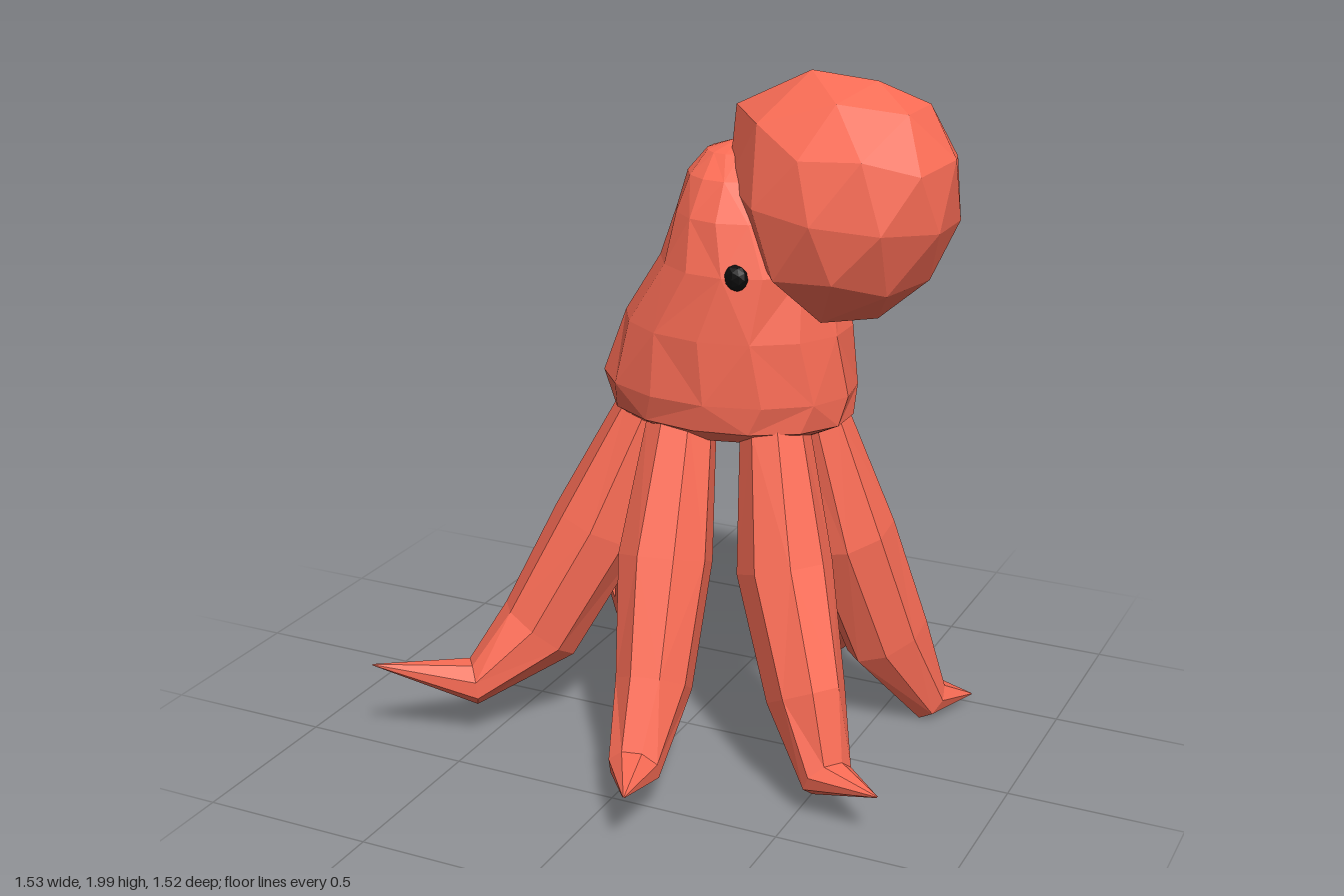
import * as THREE from 'three';

const V = (x, y, z) => new THREE.Vector3(x, y, z);
const skin = new THREE.MeshStandardMaterial({ color: 0xfb6d56, flatShading: true });
const black = new THREE.MeshStandardMaterial({ color: 0x0a0a0a, flatShading: true });
const MID_Z = -0.048; // the body sits slightly behind the centre

// Faceted skin over a list of rings with equal point counts
function loft(rings) {
  const n = rings[0].length, pts = [];
  for (let k = 0; k + 1 < rings.length; k++) {
    for (let i = 0; i < n; i++) {
      const j = (i + 1) % n;
      const a = rings[k][i], b = rings[k][j], c = rings[k + 1][j], d = rings[k + 1][i];
      if ((i + k) % 2) pts.push(a, b, c, a, c, d);
      else pts.push(a, b, d, b, c, d);
    }
  }
  const geo = new THREE.BufferGeometry().setFromPoints(pts);
  geo.computeVertexNormals();
  return geo;
}

// Ellipse around c spanned by u and v
function ring(c, u, v, n, twist = 0) {
  return Array.from({ length: n }, (_, i) => {
    const a = ((i + twist) / n) * Math.PI * 2;
    return c.clone().addScaledVector(u, Math.cos(a)).addScaledVector(v, Math.sin(a));
  });
}

function add(group, name, geo, material) {
  const mesh = new THREE.Mesh(geo, material);
  mesh.name = name;
  group.add(mesh);
  return mesh;
}

// Leaning body: [y, centre x, half width, half depth]
function bodyGeometry() {
  const rows = [
    [1.01, 0.11, 0.001, 0.001], [0.99, 0.11, 0.27, 0.19], [1.04, 0.115, 0.36, 0.265],
    [1.12, 0.11, 0.375, 0.28], [1.3, 0.135, 0.33, 0.278], [1.48, 0.17, 0.25, 0.262],
    [1.62, 0.165, 0.2, 0.225], [1.72, 0.145, 0.15, 0.165], [1.78, 0.135, 0.09, 0.095],
    [1.81, 0.135, 0.001, 0.001],
  ];
  return loft(rows.map(([y, x, w, d], k) =>
    ring(V(x, y, MID_Z), V(0, 0, d), V(w, 0, 0), 14, (k % 2) * 0.25)));
}

// Bulbous head: leaning faceted ball with a peak and a flat face towards the body
function headGeometry() {
  const geo = new THREE.IcosahedronGeometry(1, 1).rotateZ(0.46);
  const peak = V(-0.85, 0.53, 0).normalize();
  const flat = V(-0.859, -0.512, 0).normalize();
  const pos = geo.attributes.position, p = V(0, 0, 0);
  for (let i = 0; i < pos.count; i++) {
    p.fromBufferAttribute(pos, i);
    const t = Math.max(0, p.dot(peak));
    p.multiply(V(0.312, 0.342, 0.285)).multiplyScalar(1 + 0.38 * t ** 5);
    p.x += 0.14 * p.y;
    p.addScaledVector(flat, Math.min(0, 0.235 - p.dot(flat)));
    pos.setXYZ(i, p.x, p.y, p.z);
  }
  geo.translate(0.455, 1.652, MID_Z);
  geo.computeVertexNormals();
  return geo;
}

// Thick arm swept along five points to a pointed, upturned tip
function armGeometry(points) {
  const path = points.map((p) => V(...p));
  const run = path[4].clone().sub(path[0]).setY(0);
  const side = V(0, 1, 0).cross(run).normalize();
  const sizes = [[0.1, 0.09], [0.135, 0.14], [0.108, 0.13], [0.075, 0.068], [0.002, 0.002]];
  return loft(path.map((c, i) => {
    const t = path[Math.min(i + 1, 4)].clone().sub(path[Math.max(i - 1, 0)]).normalize();
    const v = t.clone().cross(side).normalize();
    return ring(c, side.clone().multiplyScalar(sizes[i][0]), v.multiplyScalar(sizes[i][1]), 8, 0.5);
  }));
}

const ARMS = {
  frontArm: [[0.03, 1.03, 0.1], [0.035, 0.65, 0.22], [0.07, 0.33, 0.37], [0.09, 0.15, 0.54], [0.17, 0.19, 0.76]],
  frontLeftArm: [[0.3, 1.03, 0.07], [0.365, 0.65, 0.14], [0.48, 0.33, 0.25], [0.58, 0.13, 0.33], [0.76, 0.16, 0.42]],
  backLeftArm: [[0.34, 1.03, -0.13], [0.43, 0.65, -0.18], [0.53, 0.3, -0.27], [0.63, 0.065, -0.38], [0.73, 0.045, -0.5]],
  backArm: [[0.21, 1.03, -0.17], [0.235, 0.65, -0.25], [0.265, 0.35, -0.38], [0.26, 0.15, -0.55], [0.265, 0.17, -0.76]],
  backRightArm: [[-0.08, 1.03, -0.15], [-0.19, 0.65, -0.23], [-0.29, 0.34, -0.33], [-0.38, 0.18, -0.41], [-0.59, 0.26, -0.56]],
  frontRightArm: [[-0.11, 1.03, 0.01], [-0.25, 0.65, 0.08], [-0.4, 0.33, 0.18], [-0.55, 0.185, 0.32], [-0.77, 0.28, 0.52]],
};

export function createModel() {
  const model = new THREE.Group();
  model.name = 'octopus';
  add(model, 'body', bodyGeometry(), skin);
  add(model, 'head', headGeometry(), skin);
  for (const [name, points] of Object.entries(ARMS)) add(model, name, armGeometry(points), skin);

  // Eyes on both flat sides of the body
  for (const s of [1, -1]) {
    const eye = add(model, s > 0 ? 'frontEye' : 'backEye', new THREE.IcosahedronGeometry(1, 1), black);
    eye.scale.set(0.038, 0.038, 0.022);
    eye.position.set(0.23, 1.48, MID_Z + s * 0.24);
  }
  return model;
}
